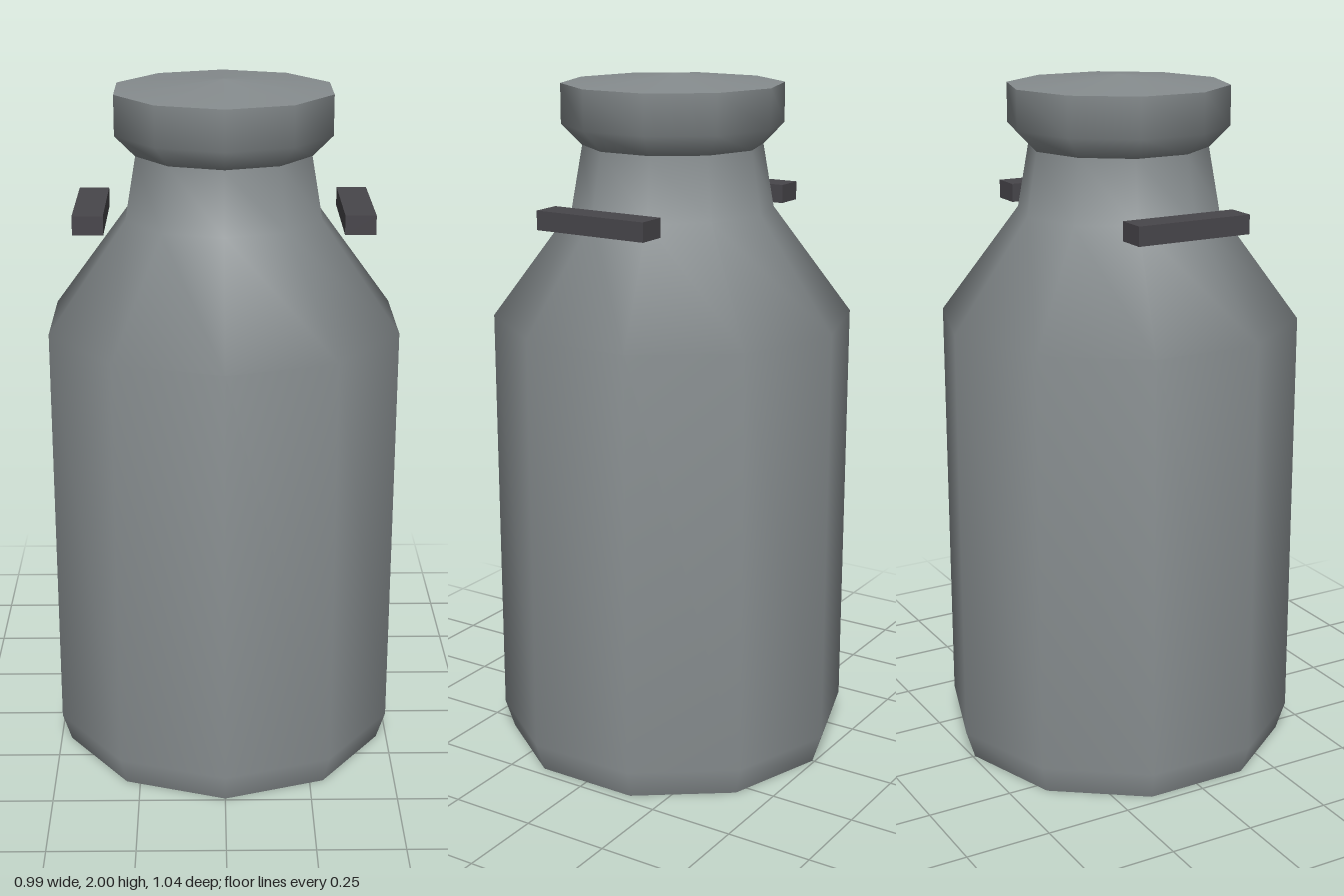
import * as THREE from 'three';

const SIDES = 10;

export function createModel() {
  const model = new THREE.Group();
  const metal = new THREE.MeshStandardMaterial({ color: 0x868c8e });
  metal.name = 'grey metal';
  const dark = new THREE.MeshStandardMaterial({ color: 0x48464b });
  dark.name = 'dark handle';

  // Ten-sided turned section, smooth within one profile; separate profiles meet in a sharp edge
  function turned(name, profile) {
    const points = profile.map(([r, y]) => new THREE.Vector2(r, y));
    const mesh = new THREE.Mesh(new THREE.LatheGeometry(points, SIDES), metal);
    mesh.name = name;
    model.add(mesh);
  }

  // Can body: flat base, straight wall, sloped shoulder and neck
  turned('base', [[0, 0], [0.493, 0]]);
  turned('body', [[0.493, 0], [0.52, 0.085], [0.52, 1.31], [0.29, 1.62], [0.258, 1.8]]);

  // Lid: flared rim with a shallow conical top
  turned('lidRim', [[0.258, 1.8], [0.317, 1.86], [0.317, 1.973]]);
  turned('lidTop', [[0.317, 1.973], [0, 2]]);

  // Pair of bar handles beside the neck
  for (const side of [1, -1]) {
    const handle = new THREE.Mesh(new THREE.BoxGeometry(0.086, 0.054, 0.346), dark);
    handle.name = side > 0 ? 'leftHandle' : 'rightHandle';
    handle.position.set(side * 0.376, 1.627, 0);
    model.add(handle);
  }

  return model;
}
